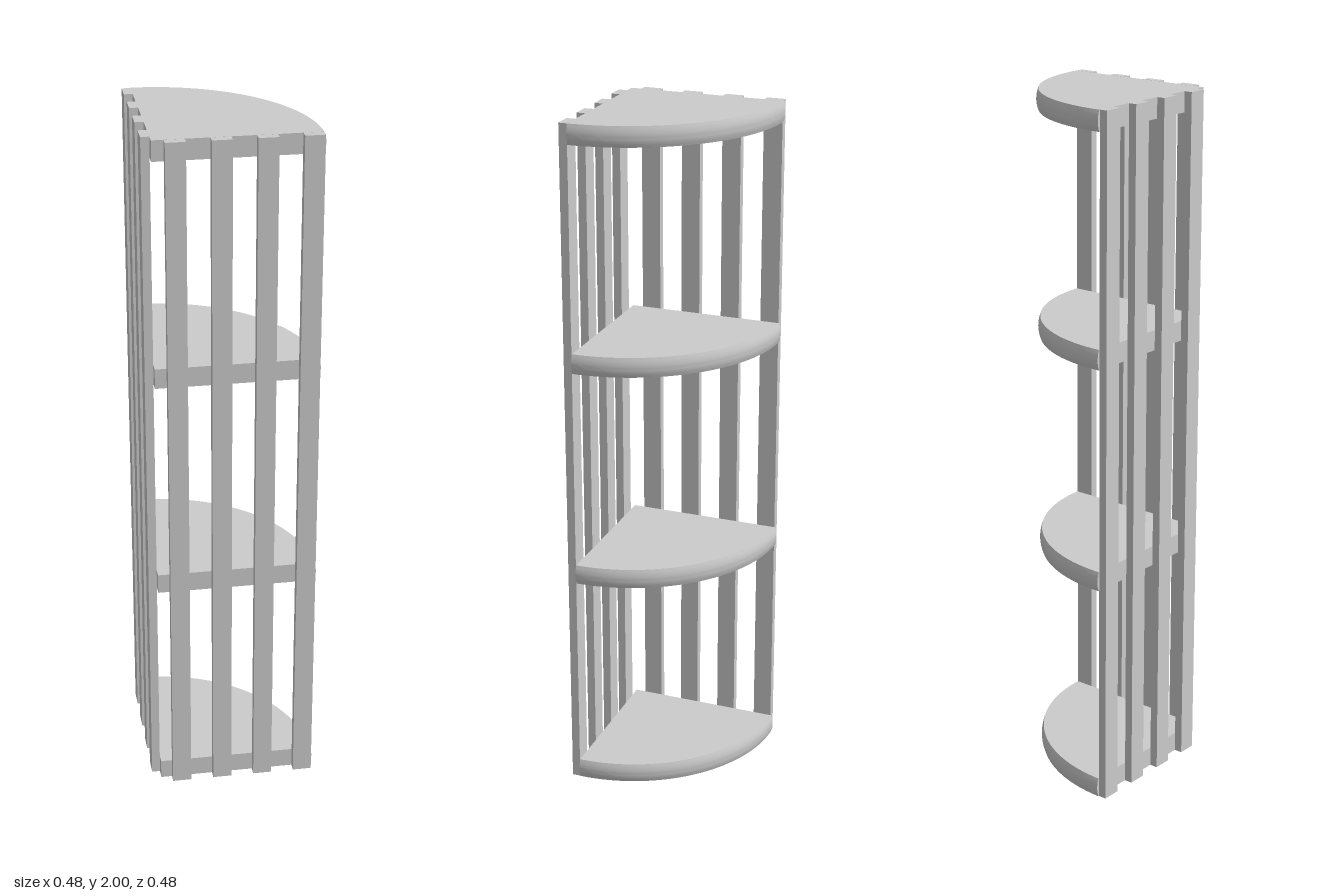
import * as THREE from 'three';
import { mergeGeometries, toCreasedNormals } from 'three/addons/utils/BufferGeometryUtils.js';

const HEIGHT = 2, THICK = 0.058, RADIUS = 0.459, BULGE = 0.006;
const CORNER_X = -0.219, CORNER_Z = 0.217;

// Quarter-round board with a softly bowed rim, corner at the origin
function shelfGeometry() {
  const rim = [];
  for (let i = 0; i <= 8; i++) {
    const t = i / 8;
    rim.push(new THREE.Vector2(RADIUS - BULGE * (2 * t - 1) ** 2, THICK * t));
  }
  const profile = [new THREE.Vector2(0, 0), ...rim, new THREE.Vector2(0, THICK)];
  const round = new THREE.LatheGeometry(profile, 48, Math.PI / 2, Math.PI / 2);

  // Flat cut faces along the two straight sides
  const front = new THREE.ShapeGeometry(new THREE.Shape(profile));
  const mirrored = profile.map(p => new THREE.Vector2(-p.x, p.y));
  const side = new THREE.ShapeGeometry(new THREE.Shape(mirrored)).rotateY(-Math.PI / 2);

  const parts = [round, front, side].map(g => g.toNonIndexed());
  return toCreasedNormals(mergeGeometries(parts), 0.6);
}

export function createModel() {
  const model = new THREE.Group();
  model.name = 'cornerShelf';
  const material = new THREE.MeshStandardMaterial({ color: 0xcccccc });

  function add(name, geometry, x, y, z) {
    const mesh = new THREE.Mesh(geometry, material);
    mesh.name = name;
    mesh.position.set(x, y, z);
    model.add(mesh);
  }

  // Four evenly spaced shelves
  const shelf = shelfGeometry();
  for (let i = 0; i < 4; i++) {
    add('shelf', shelf, CORNER_X, (HEIGHT - THICK) * i / 3, CORNER_Z);
  }

  // Upright slats on both straight sides
  const frontSlat = new THREE.BoxGeometry(0.055, HEIGHT, 0.024);
  const sideSlat = new THREE.BoxGeometry(0.024, HEIGHT, 0.055);
  for (let i = 0; i < 4; i++) {
    const offset = -0.159 + i * 0.1217;
    add('frontSlat', frontSlat, offset, HEIGHT / 2, 0.23);
    add('sideSlat', sideSlat, -0.231, HEIGHT / 2, -offset);
  }
  // offset runs away from the shared corner: slats mirror across the diagonal
  return model;
}
